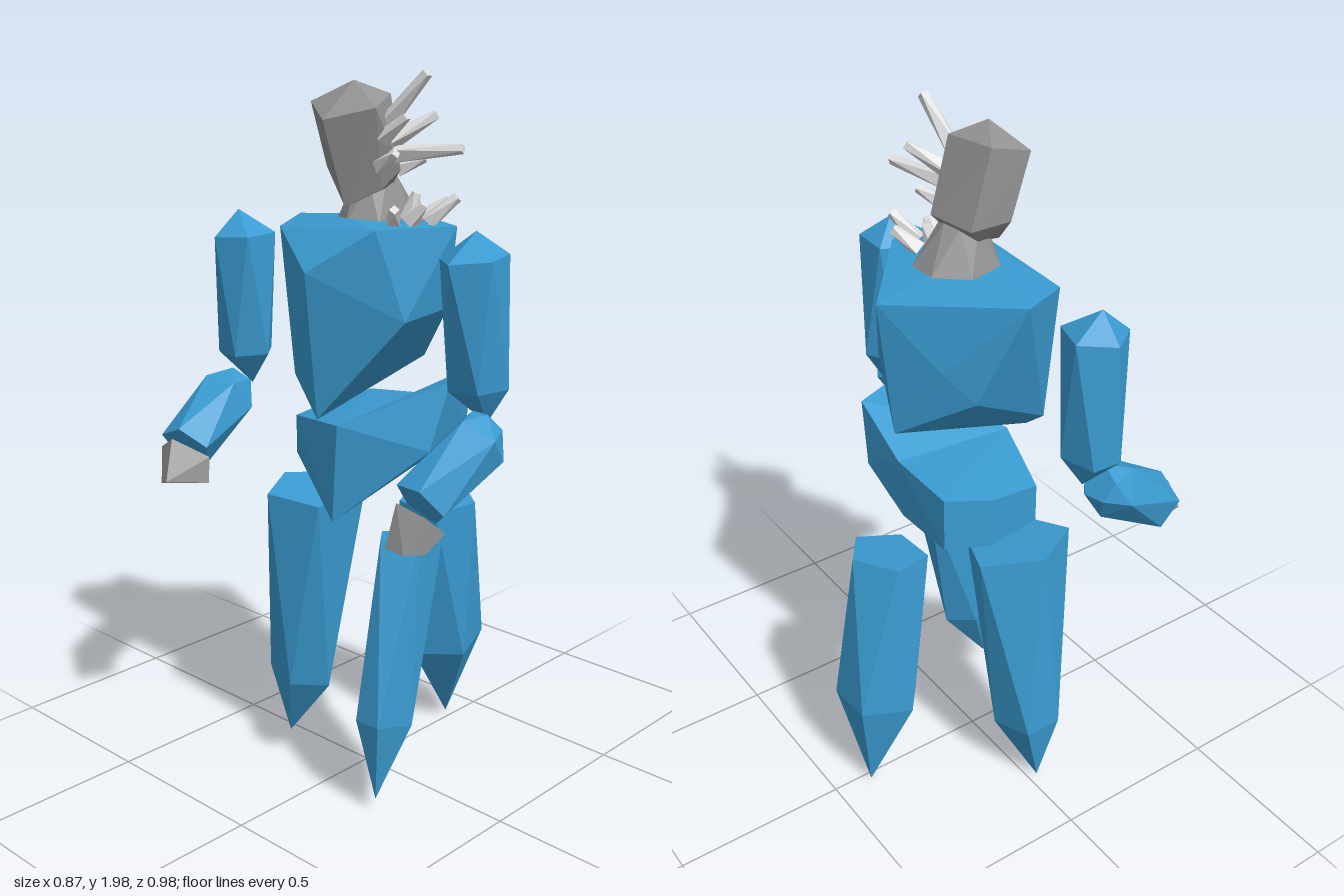
import * as THREE from 'three';
import { ConvexGeometry } from 'three/addons/geometries/ConvexGeometry.js';

export function createModel() {
  const model = new THREE.Group();
  const mat = (name, color) => {
    const m = new THREE.MeshStandardMaterial({ color, flatShading: true });
    m.name = name;
    return m;
  };
  const blue = mat('crystal blue', 0x3a9bd1);
  const grey = mat('stone grey', 0x949393);
  const pale = mat('pale spike', 0xdedede);

  // Faceted solid wrapped around a few corner points
  function hull(name, material, corners) {
    const mesh = new THREE.Mesh(
      new ConvexGeometry(corners.map((p) => (p.isVector3 ? p : new THREE.Vector3(...p)))), material);
    mesh.name = name;
    model.add(mesh);
  }

  // Crystal from rings [x, y, z, radius across, radius in depth] square to its axis; radius 0 is a tip.
  // Each ring is turned half a side from the one before, which gives long triangular facets.
  function gem(name, material, sides, twist, rings) {
    const centres = rings.map((r) => new THREE.Vector3(r[0], r[1], r[2]));
    const axis = centres[centres.length - 1].clone().sub(centres[0]).normalize();
    const u = new THREE.Vector3(1, 0, 0).addScaledVector(axis, -axis.x).normalize();
    const v = new THREE.Vector3().crossVectors(u, axis);
    if (v.z < 0) v.negate();
    const corners = [];
    rings.forEach(([, , , ru, rv], i) => {
      if (!ru) { corners.push(centres[i]); return; }
      for (let k = 0; k < sides; k++) {
        const a = twist + ((k + i / 2) / sides) * Math.PI * 2;
        corners.push(centres[i].clone()
          .addScaledVector(u, Math.cos(a) * ru)
          .addScaledVector(v, Math.sin(a) * rv));
      }
    });
    hull(name, material, corners);
  }

  // Torso: wide shoulders narrowing to a low wedge
  hull('torso', blue, [
    [-0.235, 1.49, 0], [-0.12, 1.58, -0.21], [0.03, 1.595, -0.285], [0.3, 1.575, -0.02],
    [0.09, 1.6, 0.235], [-0.12, 1.6, 0.14], [-0.07, 1.615, 0], [0.1, 1.61, 0],
    [0.1, 1.38, 0.2], [-0.06, 1.36, 0.19], [0.24, 1.38, 0.08], [0.26, 1.19, -0.02],
    [0.19, 1.4, -0.14], [0.12, 1.31, -0.19], [-0.12, 1.18, -0.16], [-0.16, 1.08, -0.035],
  ]);

  // Waist: two blocks meeting in a bend
  const bend = [[0.24, 1.085, 0], [0.23, 0.905, 0], [-0.14, 0.79, 0], [-0.12, 1.06, 0]];
  hull('waistFront', blue, [...bend,
    [0.245, 1.19, 0.17], [0.245, 1.0, 0.15], [0.06, 1.19, 0.245], [-0.02, 1.015, 0.245]]);
  hull('waistBack', blue, [...bend,
    [0.23, 1.065, -0.2], [0.23, 0.91, -0.2], [0.11, 1.045, -0.245], [0.11, 0.9, -0.245],
    [-0.04, 1.03, -0.24], [-0.04, 0.92, -0.24]]);

  // Three hanging leg crystals
  gem('sideLeg', blue, 5, 0, [
    [0.265, 0.775, 0.035, 0.112, 0.118], [0.33, 0.3, 0.005, 0.128, 0.125], [0.39, 0.012, -0.025, 0]]);
  gem('frontLeg', blue, 5, Math.PI / 5, [
    [-0.055, 0.78, 0.207, 0.115, 0.07], [-0.15, 0.27, 0.215, 0.1, 0.068], [-0.2, 0.05, 0.22, 0]]);
  gem('backLeg', blue, 5, -Math.PI / 2, [
    [-0.02, 0.82, -0.185, 0.16, 0.13], [-0.02, 0.22, -0.245, 0.093, 0.108], [-0.03, 0.008, -0.295, 0]]);

  // Upper arms: upright shards pointed at both ends
  gem('leftUpperArm', blue, 5, 0, [
    [0.02, 1.607, 0.355, 0], [0.005, 1.54, 0.36, 0.1, 0.09],
    [0.035, 1.2, 0.36, 0.078, 0.085], [0.05, 1.107, 0.38, 0]]);
  gem('rightUpperArm', blue, 5, 0.3, [
    [-0.095, 1.607, -0.405, 0], [-0.09, 1.54, -0.39, 0.09, 0.088],
    [-0.08, 1.2, -0.4, 0.075, 0.088], [-0.07, 1.107, -0.39, 0]]);

  // Forearms and hands reaching to one side
  gem('leftForearm', blue, 5, 0.3, [
    [0.02, 1.12, 0.405, 0.045, 0.05], [-0.025, 1.08, 0.412, 0.075, 0.087],
    [-0.2, 0.945, 0.372, 0.077, 0.078]]);
  gem('rightForearm', blue, 5, 0.3, [
    [-0.1, 1.115, -0.42, 0.05, 0.055], [-0.15, 1.08, -0.412, 0.082, 0.085],
    [-0.32, 0.965, -0.395, 0.075, 0.088]]);
  hull('leftHand', grey, [
    [-0.245, 0.95, 0.33], [-0.24, 0.93, 0.425], [-0.165, 0.875, 0.33], [-0.165, 0.87, 0.425],
    [-0.285, 0.84, 0.33], [-0.295, 0.84, 0.4], [-0.2, 0.84, 0.33], [-0.24, 0.835, 0.425]]);
  hull('rightHand', grey, [
    [-0.375, 1, -0.39], [-0.355, 0.96, -0.46], [-0.3, 0.945, -0.32], [-0.29, 0.92, -0.41],
    [-0.44, 0.9, -0.34], [-0.425, 0.885, -0.38], [-0.315, 0.875, -0.31], [-0.32, 0.88, -0.39]]);

  // Neck and leaning head
  gem('neck', grey, 7, 0, [[0.03, 1.72, 0, 0.055, 0.055], [0.04, 1.605, 0, 0.125, 0.1]]);
  hull('head', grey, [
    [-0.05, 1.965, 0], [-0.165, 1.87, 0], [-0.095, 1.91, -0.112], [0.02, 1.94, -0.11],
    [0.035, 1.93, 0.05], [-0.08, 1.9, 0.105],
    [0.11, 1.75, 0.02], [0.08, 1.74, -0.11], [-0.04, 1.74, -0.11], [-0.085, 1.645, 0],
    [0.02, 1.74, 0.1], [-0.02, 1.69, 0.07], [0.05, 1.69, 0.04], [0.03, 1.69, -0.07],
  ]);

  // Spikes on the face and collar: base, tip, thickness
  [
    [-0.01, 1.86, 0.08, 0.012, 1.985, 0.195, 0.026],
    [0.0, 1.81, 0.08, 0.085, 1.88, 0.165, 0.025],
    [0.0, 1.78, 0.09, 0.06, 1.8, 0.275, 0.025],
    [-0.04, 1.82, 0.09, -0.03, 1.88, 0.165, 0.023],
    [-0.05, 1.75, 0.09, -0.065, 1.79, 0.16, 0.023],
    [0.03, 1.74, 0.08, 0.07, 1.77, 0.14, 0.023],
    [-0.03, 1.61, 0.12, -0.07, 1.65, 0.16, 0.025],
    [0.0, 1.61, 0.15, 0.01, 1.66, 0.19, 0.025],
    [0.05, 1.61, 0.17, 0.09, 1.675, 0.235, 0.025],
    [0.08, 1.61, 0.12, 0.125, 1.66, 0.175, 0.025],
    [0.05, 1.61, 0.1, 0.06, 1.68, 0.12, 0.025],
  ].forEach(([bx, by, bz, tx, ty, tz, r], i) => {
    gem(i < 6 ? 'faceSpike' : 'collarSpike', pale, 4, i, [
      [bx, by, bz, r, r], [tx, ty, tz, r * 0.55, r * 0.55]]);
  });

  return model;
}
